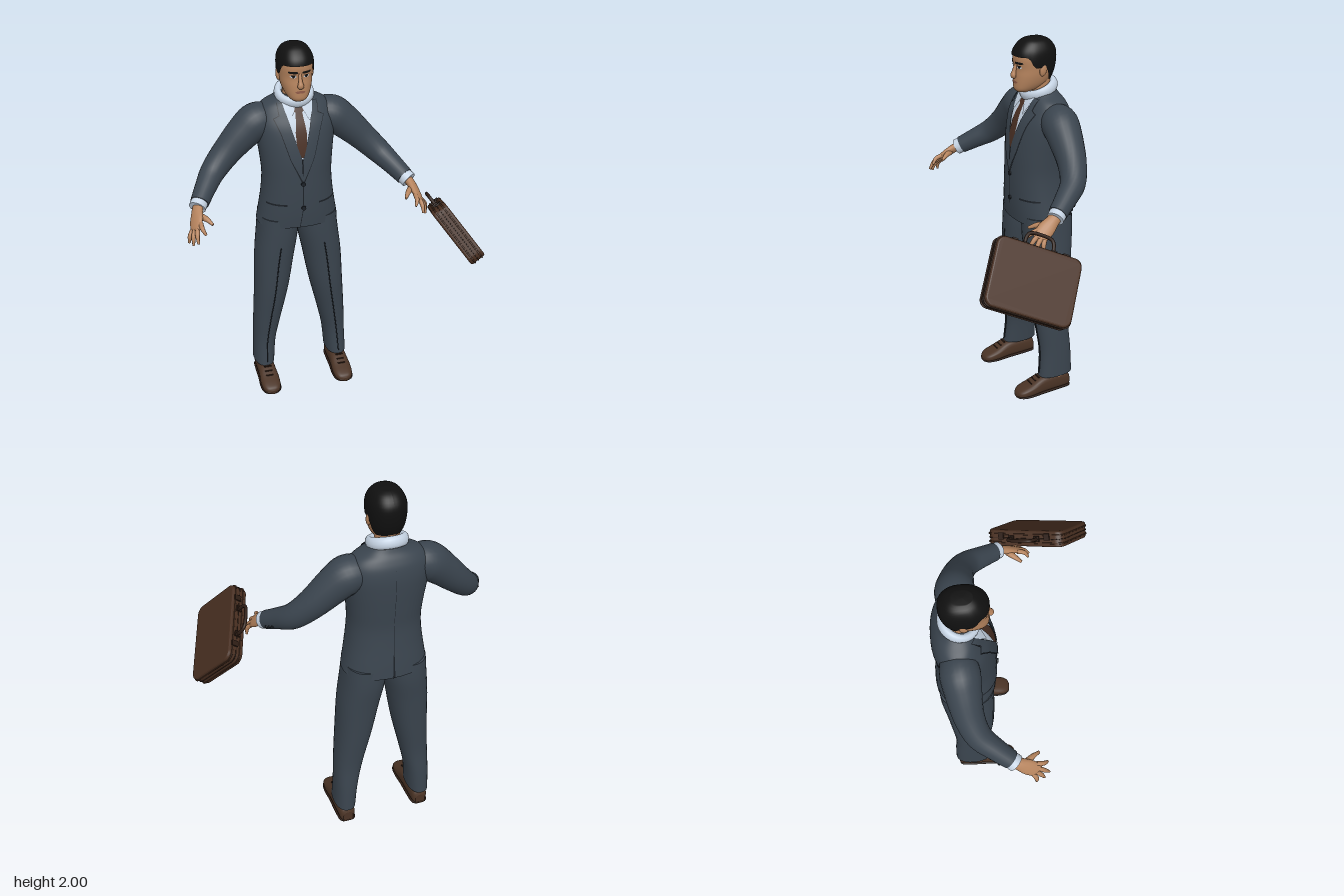
import * as THREE from 'three';

const MID = -0.15; // body centre line
const V = (x, y, z) => new THREE.Vector3(x, y, z);
const mat = (name, color) => {
  const m = new THREE.MeshStandardMaterial({ color, side: THREE.DoubleSide });
  m.name = name;
  return m;
};

// Subdivision of rows holding any number of channels, smooth or straight
function refine(rows, k = 5, smooth = true) {
  const out = [];
  const at = i => rows[Math.min(rows.length - 1, Math.max(0, i))];
  for (let i = 0; i < rows.length - 1; i++) for (let s = 0; s < k; s++) {
    const t = s / k;
    out.push(rows[i].map((b, c) => {
      const a = at(i - 1)[c], d = at(i + 1)[c], e = at(i + 2)[c];
      if (!smooth) return b + (d - b) * t;
      return b + 0.5 * t * (d - a + t * (2 * a - 5 * b + 4 * d - e + t * (3 * (b - d) + e - a)));
    }));
  }
  out.push(rows[rows.length - 1]);
  return out;
}

// Skin rings of points; closed rings get flat caps
function skin(rings, closed = true) {
  const n = rings[0].length, pos = [], idx = [];
  rings.forEach(r => r.forEach(p => pos.push(p.x, p.y, p.z)));
  for (let i = 0; i < rings.length - 1; i++) for (let j = 0; j < (closed ? n : n - 1); j++) {
    const a = i * n + j, b = i * n + (j + 1) % n;
    idx.push(a, b, b + n, a, b + n, a + n);
  }
  if (closed) [rings[0], rings[rings.length - 1]].forEach((r, e) => {
    const o = pos.length / 3, c = r.reduce((s, p) => s.add(p), V(0, 0, 0)).divideScalar(n);
    [...r, c].forEach(p => pos.push(p.x, p.y, p.z));
    for (let j = 0; j < n; j++) {
      const k = (j + 1) % n;
      if (e) idx.push(o + j, o + k, o + n); else idx.push(o + k, o + j, o + n);
    }
  });
  const g = new THREE.BufferGeometry();
  g.setAttribute('position', new THREE.Float32BufferAttribute(pos, 3));
  g.setIndex(idx);
  g.computeVertexNormals();
  return g;
}

const pw = (v, e) => Math.sign(v) * Math.abs(v) ** e;
// Horizontal sections: [y, offset from the centre line, half width, z front, z back]
function loft(rows, s = 1, seg = 32) {
  return skin(refine(rows).map(([y, o, w, f, b]) => Array.from({ length: seg }, (_, j) => {
    const a = j / seg * Math.PI * 2;
    return V(MID + s * o + w * pw(Math.sin(a), .87), y, (f + b) / 2 + (f - b) / 2 * pw(Math.cos(a), .87));
  })));
}
// Round sections along a path: [x, y, z, radius, optional second radius]
function sweep(rows, ref = V(0, 0, 1), seg = 16, k = 5) {
  const r = refine(rows, k), P = r.map(q => V(q[0], q[1], q[2]));
  return skin(r.map((q, i) => {
    const t = P[Math.min(i + 1, r.length - 1)].clone().sub(P[Math.max(i - 1, 0)]).normalize();
    const u = ref.clone().addScaledVector(t, -ref.dot(t)).normalize(), b = t.clone().cross(u);
    return Array.from({ length: seg }, (_, j) => {
      const a = j / seg * Math.PI * 2;
      return P[i].clone().addScaledVector(u, Math.cos(a) * q[3]).addScaledVector(b, Math.sin(a) * (q[4] ?? q[3]));
    });
  }));
}
// Section of a loft at a height, and its front (or back) depth
function section(rows, y) {
  let i = 0;
  while (i < rows.length - 2 && rows[i + 1][0] < y) i++;
  const a = rows[i], b = rows[i + 1], t = THREE.MathUtils.clamp((y - a[0]) / (b[0] - a[0]), 0, 1);
  return a.map((v, c) => v + (b[c] - v) * t);
}
function depth(rows, x, y, dir = 1) {
  const [, , w, f, b] = section(rows, y), u = Math.min(1, Math.abs(x) / w);
  return (f + b) / 2 + dir * (f - b) / 2 * (1 - u ** 2.3) ** (1 / 2.3);
}
// Thin sheet laid on a loft: rows [y, x left, x right] from the bottom up
function patch(body, rows, lift, dir = 1) {
  return skin(refine(rows, 6, false).map(([y, l, r]) => Array.from({ length: 7 }, (_, j) => {
    const x = l + (r - l) * j / 6;
    return V(MID + x, y, depth(body, x, y, dir) + dir * lift);
  })), false);
}
const flip = (rows, s) => rows.map(([y, l, r]) => s > 0 ? [y, l, r] : [y, -r, -l]);

export function createModel() {
  const suit = mat('suit cloth', 0x3a444e), trim = mat('dark trim', 0x1c2127), shirt = mat('shirt', 0xc6d4e4);
  const tie = mat('tie', 0x4a3024), skinM = mat('skin', 0xb5835d), hair = mat('hair', 0x101010);
  const shoe = mat('shoe leather', 0x4a3325), leather = mat('case leather', 0x472e20);
  const dark = mat('dark leather', 0x2c1c14), lip = mat('lips', 0x8f5a47);
  const root = new THREE.Group();
  const add = (name, geo, m, parent = root) => {
    const o = new THREE.Mesh(geo, m);
    o.name = name;
    parent.add(o);
  };
  const box = (w, h, d, x, y, z) => new THREE.BoxGeometry(w, h, d).translate(x, y, z);

  // Jacket
  const jr = [[1.02, 0, .222, -.122, -.437], [1.1, 0, .208, -.115, -.43], [1.2, 0, .193, -.112, -.418],
    [1.3, 0, .186, -.113, -.41], [1.4, 0, .193, -.117, -.415], [1.5, 0, .205, -.13, -.42], [1.58, 0, .212, -.15, -.42],
    [1.64, 0, .2, -.178, -.41], [1.68, 0, .17, -.198, -.392], [1.71, 0, .115, -.213, -.372], [1.735, 0, .08, -.23, -.36]];
  const jacket = refine(jr);
  add('jacket', loft(jr, 1, 48), suit);
  add('shirtFront', patch(jacket, [[1.42, -.003, .003], [1.56, -.045, .045], [1.66, -.07, .07], [1.715, -.075, .075]], .003), shirt);
  add('tie', patch(jacket, [[1.43, -.004, .004], [1.47, -.026, .026], [1.56, -.029, .029], [1.655, -.017, .017], [1.66, -.026, .026], [1.7, -.024, .024]], .007), tie);
  add('frontSeam', patch(jacket, [[1.02, -.022, -.018], [1.14, -.003, .001], [1.42, -.002, .002]], .002), trim);
  add('backVent', patch(jacket, [[1.02, -.006, .006], [1.17, -.002, .002]], .002, -1), trim);
  add('backSeam', patch(jacket, [[1.17, -.001, .001], [1.65, -.001, .001]], .002, -1), trim);
  for (const y of [1.28, 1.14]) add('jacketButton',
    new THREE.CylinderGeometry(.012, .012, .008, 16).rotateX(Math.PI / 2).translate(MID, y, depth(jacket, 0, y) + .004), trim);
  add('shirtCollar', new THREE.TorusGeometry(.084, .02, 12, 32).scale(1, 1, 1.5).rotateX(Math.PI / 2 + .38).translate(MID, 1.73, -.277), shirt);

  for (const s of [1, -1]) {
    const at = o => MID + s * o;
    const arm = rows => rows.map(([o, ...r]) => [at(o), ...r]);
    add('lapelEdge', patch(jacket, flip([[1.29, 0, .008], [1.42, .002, .064], [1.56, .043, .105], [1.63, .06, .134], [1.645, .065, .105], [1.7, .073, .107]], s), .005), trim);
    add('lapel', patch(jacket, flip([[1.3, 0, .004], [1.42, .004, .06], [1.56, .045, .101], [1.63, .062, .129], [1.645, .067, .1], [1.7, .075, .104]], s), .009), suit);
    add('collarFlap', patch(jacket, flip([[1.615, .05, .053], [1.66, .026, .07], [1.71, .008, .08]], s), .011), shirt);
    add('pocket', patch(jacket, flip([[1.155, .085, .185], [1.165, .085, .185]], s), .003), trim);

    // Sleeve, cuff and cuff buttons
    add('sleeve', sweep(arm([[.13, 1.595, -.3, .082], [.2, 1.587, -.292, .097], [.27, 1.535, -.285, .09], [.37, 1.44, -.268, .075],
      [.45, 1.362, -.228, .065], [.505, 1.31, -.155, .055], [.55, 1.265, -.085, .048]]), V(0, 1, .3), 24), suit);
    add('shirtCuff', sweep(arm([[.535, 1.28, -.108, .044], [.567, 1.25, -.062, .044]]), V(0, 1, .3), 20), shirt);
    for (let i = 0; i < 3; i++) add('cuffButton',
      new THREE.SphereGeometry(.009, 10, 8).translate(at(.566 - i * .012), 1.264 + i * .012, -.142 - i * .019), trim);

    // Hand
    const hand = new THREE.Group();
    hand.name = s > 0 ? 'leftHand' : 'rightHand';
    root.add(hand);
    const across = V(-.67 * s, .67, .33);
    add('palm', sweep(arm([[.555, 1.262, -.08, .032, .026], [.57, 1.242, -.045, .034, .023], [.582, 1.215, -.005, .042, .019],
      [.592, 1.188, .032, .038, .014], [.597, 1.178, .043, .028, .009]]), across), skinM, hand);
    const tips = [[.632, 1.11, .035], [.616, 1.113, .075], [.594, 1.13, .1], [.552, 1.172, .095]];
    tips.forEach(([o, y, z], i) => {
      const k = -.03 + i * .02, b = [.588 - .67 * k, 1.192 + .67 * k, .028 + .33 * k];
      add('finger', sweep(arm([[...b, .012], [(b[0] + o) / 2 + .006, (b[1] + y) / 2 + .006, (b[2] + z) / 2 + .008, .0115],
        [o, y, z, .006]]), across, 10), skinM, hand);
    });
    add('thumb', sweep(arm([[.563, 1.225, -.015, .018], [.535, 1.222, .02, .014], [.51, 1.205, .056, .007]]), V(0, 1, 0), 10), skinM, hand);

    // Trouser leg with a front crease
    const lr = [[.1, .216, .058, -.188, -.392], [.25, .206, .063, -.198, -.385], [.4, .187, .076, -.183, -.376],
      [.6, .158, .093, -.156, -.39], [.8, .135, .106, -.146, -.405], [.95, .113, .111, -.14, -.42], [1.06, .105, .108, -.14, -.42]];
    add('trouserLeg', loft(lr, s), suit);
    add('trouserCrease', sweep(refine(lr).filter(r => r[0] > .12 && r[0] < .92).map(r => [at(r[1]), r[0], r[3], .003]), V(1, 0, 0), 6, 1), trim);

    // Ankle and shoe
    add('ankle', new THREE.CylinderGeometry(.042, .042, .1, 16).scale(1, 1, 1.4).translate(at(.216), .1, -.3), skinM);
    const sr = refine([[-.376, .028, .065], [-.355, .043, .095], [-.28, .048, .105], [-.2, .05, .1], [-.13, .055, .07],
      [-.08, .051, .052], [-.052, .036, .038], [-.042, .014, .022]]);
    const shoeRing = ([z, w, h]) => Array.from({ length: 24 }, (_, j) => {
      const a = j / 24 * Math.PI * 2;
      return V(at(.215) + w * pw(Math.cos(a), .7), h * (.5 + .5 * pw(Math.sin(a), .7)), z);
    });
    add('shoe', skin(sr.map(shoeRing)), shoe);
    add('sole', skin(sr.map(([z, w]) => shoeRing([z, w + .004, .016]))), dark);
    for (let i = 0; i < 3; i++) add('lace', box(.042, .006, .007, at(.215), .1 - i * .014, -.178 + i * .024), dark);
  }

  // Head
  const hr = [[1.725, 0, .03, -.152, -.22], [1.74, 0, .05, -.138, -.265], [1.77, 0, .068, -.136, -.315], [1.81, 0, .08, -.138, -.34],
    [1.85, 0, .085, -.142, -.352], [1.9, 0, .087, -.136, -.357], [1.94, 0, .08, -.146, -.35], [1.975, 0, .057, -.18, -.32], [1.99, 0, .025, -.21, -.285]];
  const head = refine(hr);
  add('neck', new THREE.CylinderGeometry(.058, .066, .16, 24).translate(MID, 1.73, -.278), skinM);
  add('head', loft(hr, 1, 36), skinM);
  add('nose', sweep([[MID, 1.872, -.144, .008, .008], [MID, 1.835, -.133, .011, .011], [MID, 1.813, -.128, .017, .014],
    [MID, 1.802, -.136, .012, .008]], V(1, 0, 0), 14), skinM);
  add('mouth', patch(head, [[1.773, -.018, .018], [1.779, -.027, .027], [1.786, -.016, .016]], .002), lip);
  for (const s of [1, -1]) {
    add('brow', patch(head, flip([[1.876, .012, .05], [1.882, .01, .058], [1.888, .014, .055]], s), .004), hair);
    add('eyeWhite', patch(head, flip([[1.853, .026, .04], [1.86, .017, .05], [1.867, .024, .042]], s), .002), shirt);
    add('iris', patch(head, flip([[1.853, .03, .036], [1.86, .026, .041], [1.869, .022, .046]], s), .003), hair);
    add('ear', new THREE.SphereGeometry(1, 14, 10).scale(.011, .032, .02).rotateX(-.2).translate(MID + s * .087, 1.845, -.255), skinM);
  }

  // Hair: a cap over the skull whose hem drops at the temples and nape
  const hem = a => {
    const t = Math.abs(a) / Math.PI, f = THREE.MathUtils.smoothstep;
    return 1.915 - .055 * f(t, .3, .42) - .075 * f(t, .52, .72);
  };
  const cap = [];
  for (let i = 0; i <= 16; i++) cap.push(Array.from({ length: 49 }, (_, j) => {
    const a = (j / 48 * 2 - 1) * Math.PI, t = Math.sin(i / 16 * Math.PI / 2);
    const y = hem(a) + (1.99 - hem(a)) * t, [, , w, f, b] = section(head, y), g = i === 16 ? 0 : 1;
    return V(MID + g * (w + .007) * pw(Math.sin(a), .87), y + .01 * t,
      (f + b) / 2 + g * ((f - b) / 2 + .007) * pw(Math.cos(a), .87));
  }));
  add('hair', skin(cap, false), hair);

  // Briefcase: local x along its length, y towards the handle
  const bag = new THREE.Group();
  bag.name = 'briefcase';
  const bx = V(.293, -.395, -.87).normalize(), bz = bx.clone().cross(V(-.513, .727, -.456)).normalize();
  bag.quaternion.setFromRotationMatrix(new THREE.Matrix4().makeBasis(bx, bz.clone().cross(bx), bz));
  bag.position.set(.6, 1.04, .167);
  root.add(bag);
  const slab = (w, h, d, r, bevel) => {
    const p = new THREE.Shape(), x = w / 2 - bevel - r, y = h / 2 - bevel - r;
    [[x, y], [-x, y], [-x, -y], [x, -y]].forEach(([cx, cy], q) =>
      p.absarc(cx, cy, r, q * Math.PI / 2, (q + 1) * Math.PI / 2, false));
    return new THREE.ExtrudeGeometry(p, { depth: d - 2 * bevel, bevelSize: bevel, bevelThickness: bevel, bevelSegments: 3, curveSegments: 8 })
      .translate(0, 0, bevel - d / 2);
  };
  add('caseBody', slab(.445, .345, .086, .035, .01), leather, bag);
  for (const z of [-.022, .022]) add('caseRim', slab(.452, .352, .008, .038, .002).translate(0, 0, z), leather, bag);
  add('caseSeam', slab(.449, .349, .004, .038, .001), dark, bag);
  const grip = [[-.075, .165], [-.072, .215], [-.045, .24], [.045, .24], [.072, .215], [.075, .165]];
  add('caseHandle', sweep(grip.map(([x, y]) => [x, y, 0, .009]), V(0, 0, 1), 12), dark, bag);
  for (const s of [1, -1]) {
    add('handleMount', box(.03, .014, .03, s * .075, .176, 0), dark, bag);
    add('caseLatch', box(.03, .008, .036, s * .135, .177, .012), dark, bag);
  }
  return root;
}
